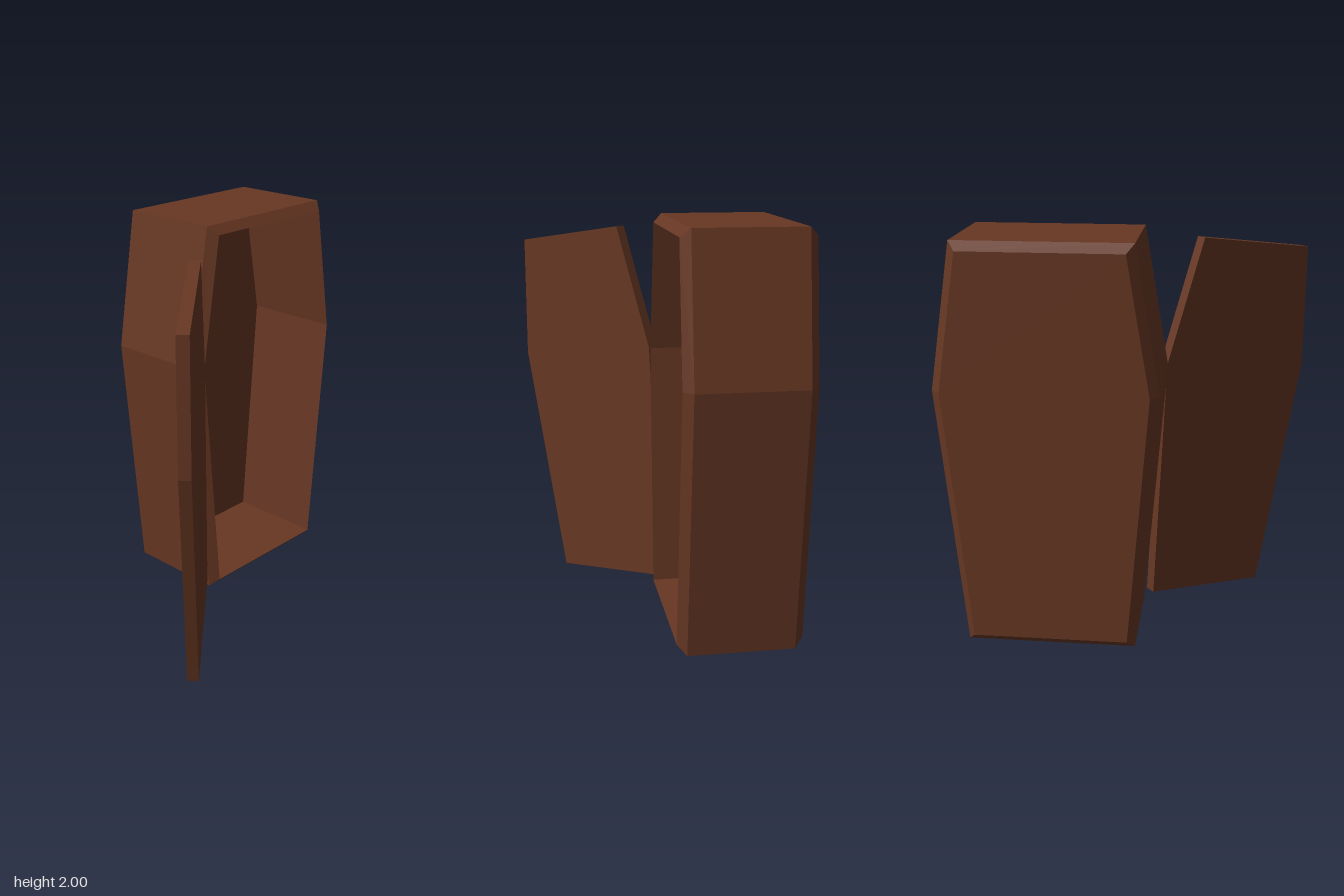
import * as THREE from 'three';

// Joins equal-sized outlines, given back to front as { points, z }, and caps both ends.
function loft(rings) {
  const positions = [];
  const put = (ring, i) => {
    const [x, y] = ring.points[i % ring.points.length];
    positions.push(x, y, ring.z);
  };
  const count = rings[0].points.length;
  for (let k = 0; k < rings.length - 1; k++) {
    const a = rings[k], b = rings[k + 1];
    for (let i = 0; i < count; i++) {
      put(a, i); put(a, i + 1); put(b, i + 1);
      put(a, i); put(b, i + 1); put(b, i);
    }
  }
  const first = rings[0], last = rings[rings.length - 1];
  for (let i = 1; i < count - 1; i++) {
    put(first, 0); put(first, i + 1); put(first, i);
    put(last, 0); put(last, i); put(last, i + 1);
  }
  const geometry = new THREE.BufferGeometry();
  geometry.setAttribute('position', new THREE.Float32BufferAttribute(positions, 3));
  geometry.computeVertexNormals();
  return geometry;
}

// Six-sided coffin outline, counterclockwise, from half widths and heights.
function coffinOutline(end, shoulder, bottom, top) {
  const middle = 1.33;
  return [
    [-end, top], [-shoulder, middle], [-end, bottom],
    [end, bottom], [shoulder, middle], [end, top],
  ];
}

export function createModel() {
  const group = new THREE.Group();
  group.name = 'openCoffin';
  const wood = new THREE.MeshStandardMaterial({ color: 0x673723 });
  wood.name = 'brown wood';

  // Box: bevelled back, straight sides, bevelled rim, hollow inside
  const outer = coffinOutline(0.4, 0.51, 0.08, 2);
  const inner = coffinOutline(0.365, 0.468, 0.122, 1.96);
  const box = new THREE.Mesh(loft([
    { points: inner, z: -0.59 },
    { points: outer, z: -0.547 },
    { points: outer, z: -0.043 },
    { points: inner, z: 0 },
    { points: inner, z: -0.5 },
  ]), wood);
  box.name = 'coffinBox';
  box.position.x = 0.335;
  group.add(box);

  // Lid: thin slab, leaning outwards and swung open
  const lidOutline = [
    [-0.889, 1.81], [-0.889, 1.19], [-0.621, 0],
    [0.08, 0.125], [0.005, 1.33], [-0.211, 1.92],
  ];
  const lid = new THREE.Mesh(loft([
    { points: lidOutline, z: 0 },
    { points: lidOutline, z: 0.055 },
  ]), wood);
  lid.name = 'lid';
  lid.position.set(-0.175, 0, -0.032);
  lid.rotation.y = 0.712;
  group.add(lid);

  return group;
}
